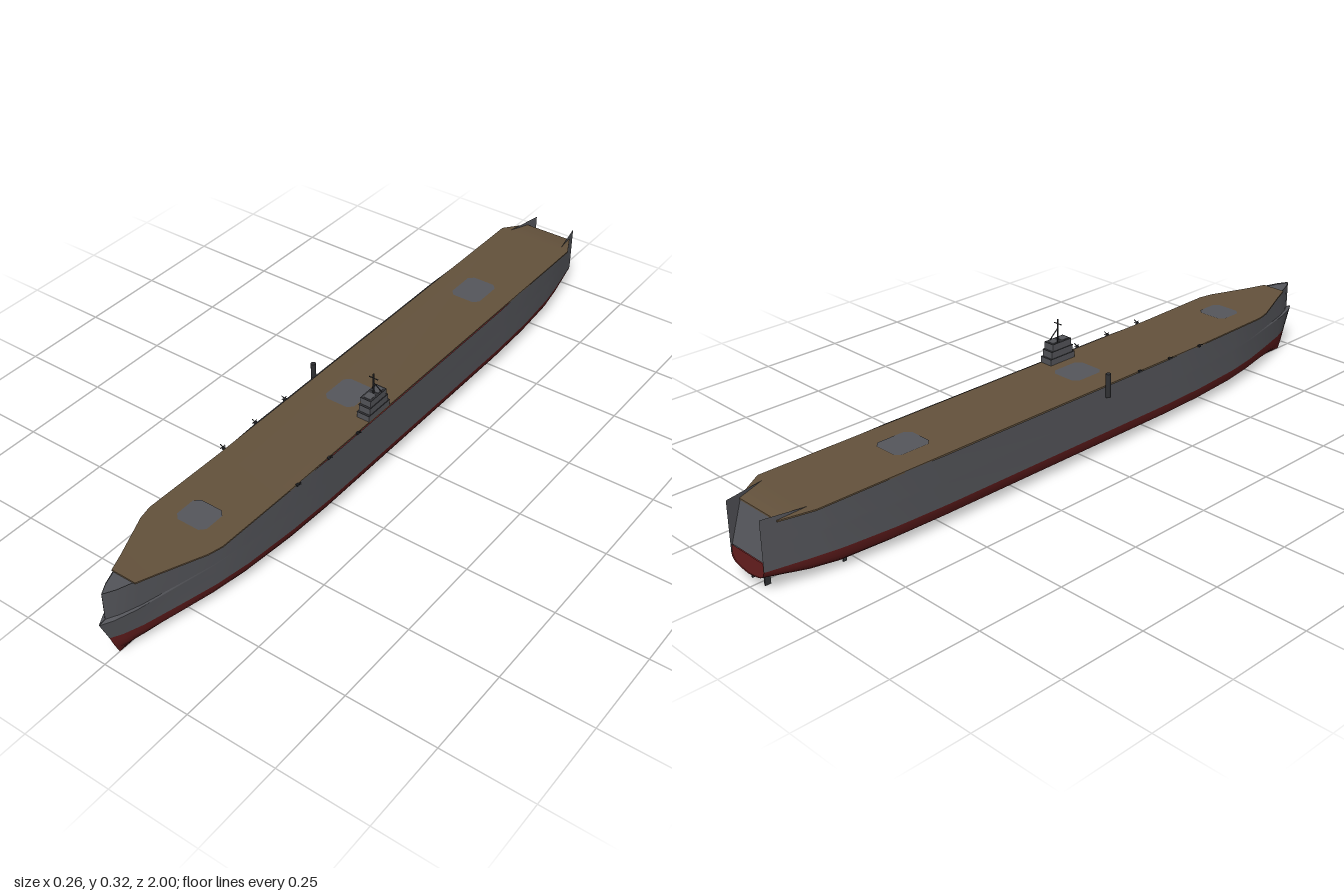
import * as THREE from 'three';

const mat = (name, color) => {
  const m = new THREE.MeshStandardMaterial({ color, side: THREE.DoubleSide });
  m.name = name;
  return m;
};
const smooth = (t) => { const c = Math.min(1, Math.max(0, t)); return c * c * (3 - 2 * c); };

// Linear lookup in rows of [key, value, ...], keys ascending
function lookup(rows, k, col = 1) {
  for (let i = 1; i < rows.length; i++) {
    const a = rows[i - 1], b = rows[i];
    if (k <= b[0]) return a[col] + (b[col] - a[col]) * Math.max(0, (k - a[0]) / (b[0] - a[0]));
  }
  return rows[rows.length - 1][col];
}

// Skin through cross-sections, each a list of [x, y, z]
function loft(rings) {
  const n = rings[0].length, index = [];
  for (let i = 0; i < rings.length - 1; i++) {
    for (let j = 0; j < n - 1; j++) {
      const a = i * n + j, b = a + n;
      index.push(a, b, a + 1, b, b + 1, a + 1);
    }
  }
  const g = new THREE.BufferGeometry();
  g.setAttribute('position', new THREE.Float32BufferAttribute(rings.flat(2), 3));
  g.setIndex(index);
  g.computeVertexNormals();
  return g;
}

// Half-breadth of the hull by station z
const breadth = [[-1, 0.064], [-0.95, 0.074], [-0.88, 0.088], [-0.8, 0.101], [-0.66, 0.113], [-0.5, 0.118],
  [0.3, 0.118], [0.44, 0.113], [0.6, 0.1], [0.7, 0.084], [0.8, 0.06], [0.9, 0.035], [0.95, 0.017], [0.98, 0.0005]];
// Section below the waterline: height, share of half-breadth
const bilge = [[0, 0], [0.004, 0.25], [0.009, 0.5], [0.018, 0.74], [0.03, 0.88], [0.045, 0.96], [0.065, 1]];
// Raked stem by height
const stem = [[0, 0.95], [0.03, 0.963], [0.065, 0.975], [0.127, 1], [0.131, 0.98], [0.2, 0.98]];
const sheer = (z) => 0.199 + 0.011 * Math.max(0, (z - 0.45) / 0.53);

function hullPoint(side, z, level) {
  const ends = smooth((z - 0.45) / 0.5);
  const share = level < 0.065 ? Math.pow(lookup(bilge, level), 1 + ends * 0.8) : 1;
  const keel = z < -0.84 ? 0.036 * (-0.84 - z) / 0.16 : 0;
  let y = level;
  if (level < 0.065) y = keel + level * (0.065 - keel) / 0.065;
  else if (level >= 0.2) y = sheer(z);
  const shift = (lookup(stem, level) - 0.98) * smooth((z - 0.72) / 0.26);
  return [side * share * lookup(breadth, z), y, z + shift];
}
const band = (side, levels) => loft(breadth.map(([z]) => levels.map((l) => hullPoint(side, z, l))));

export function createModel() {
  const hullGrey = mat('hull grey', 0x54555a);
  const red = mat('bottom red', 0x671f1f);
  const brown = mat('deck brown', 0x64523c);
  const liftGrey = mat('lift grey', 0x55565c);
  const dark = mat('dark metal', 0x303134);

  const model = new THREE.Group();
  const add = (name, geometry, material, x = 0, y = 0, z = 0, parent = model) => {
    const m = new THREE.Mesh(geometry, material);
    m.name = name;
    m.position.set(x, y, z);
    parent.add(m);
    return m;
  };
  const rod = (name, a, b, r, parent, material = dark) => {
    const p = new THREE.Vector3(...a), q = new THREE.Vector3(...b);
    const m = add(name, new THREE.CylinderGeometry(r, r, p.distanceTo(q), 6), material, 0, 0, 0, parent);
    m.position.copy(p).add(q).multiplyScalar(0.5);
    m.quaternion.setFromUnitVectors(new THREE.Vector3(0, 1, 0), q.sub(p).normalize());
    return m;
  };

  // Hull sides with a small ledge at the bow
  for (const s of [1, -1]) {
    add('upperHull', band(s, [0.131, 0.165, 0.2]), hullGrey);
    add('bowLedge', band(s, [0.127, 0.131]), hullGrey);
    add('lowerHull', band(s, [0.065, 0.095, 0.127]), hullGrey);
  }
  // Underwater hull, from side to side through the keel
  const under = bilge.map((b) => b[0]);
  add('underwaterHull', loft(breadth.map(([z]) => [
    ...under.slice().reverse().map((l) => hullPoint(1, z, l)),
    ...under.slice(1).map((l) => hullPoint(-1, z, l)),
  ])), red);

  // Recessed stern: sloping plate above, red transom below
  add('sternPlate', loft([
    [[0.072, 0.186, -0.957], [-0.072, 0.186, -0.957]],
    [[0.064, 0.085, -0.995], [-0.064, 0.085, -0.995]],
  ]), hullGrey);
  add('transom', loft([0.085, ...under.slice().reverse()].map((l) => [1, -1].map((s) => {
    const p = hullPoint(s, -1, l);
    return [p[0], p[1], -0.997];
  }))), red);

  // Foredeck ahead of the flight deck
  add('foredeck', loft([0.89, 0.95, 0.98].map((z) =>
    [1, -1].map((s) => [s * lookup(breadth, z), sheer(z) - 0.003, z]))), hullGrey);

  // Flight deck, overhanging the narrow ends: z, half-breadth, top
  const deckRows = [[-0.96, 0.075, 0.187], [-0.88, 0.114, 0.2], [0.45, 0.114, 0.2], [0.7, 0.114, 0.205],
    [0.74, 0.105, 0.206], [0.8, 0.08, 0.207], [0.86, 0.055, 0.208], [0.91, 0.036, 0.2095]];
  const deckSurface = (drop) => loft(deckRows.map(([z, w, y]) => [[w, y - drop, z], [-w, y - drop, z]]));
  add('flightDeck', deckSurface(0), brown);
  add('deckUnderside', deckSurface(0.004), brown);
  for (const s of [1, -1]) {
    add('deckEdge', loft(deckRows.map(([z, w, y]) => [[s * w, y, z], [s * w, y - 0.004, z]])), brown);
  }
  for (const [z, w, y] of [deckRows[0], deckRows[deckRows.length - 1]]) {
    add('deckEnd', loft([[[w, y, z], [-w, y, z]], [[w, y - 0.004, z], [-w, y - 0.004, z]]]), brown);
  }

  // Aircraft lifts, clipped square plates
  for (const [z, y, half] of [[-0.54, 0.2, 0.055], [0.06, 0.2, 0.052], [0.65, 0.204, 0.042]]) {
    const w = 0.046, c = 0.014;
    const shape = new THREE.Shape([[w, half - c], [w - c, half], [c - w, half], [-w, half - c],
      [-w, c - half], [c - w, -half], [w - c, -half], [w, c - half]].map((p) => new THREE.Vector2(...p)));
    const g = new THREE.ShapeGeometry(shape).rotateX(-Math.PI / 2);
    add('lift', g, liftGrey, 0, y + 0.0015, z);
  }

  // Island of three stepped tiers with a tripod mast
  const island = new THREE.Group();
  island.name = 'island';
  island.position.set(0.095, 0.2, 0.082);
  model.add(island);
  [[0.038, 0.09, 0.018], [0.035, 0.079, 0.02], [0.032, 0.068, 0.02]].reduce((y, [w, d, h]) => {
    add('islandTier', new THREE.BoxGeometry(w, h, d), hullGrey, 0, y + h / 2, 0, island);
    add('tierRim', new THREE.BoxGeometry(w + 0.001, 0.0015, d + 0.001), dark, 0, y + h - 0.0007, 0, island);
    return y + h;
  }, 0);
  for (const z of [-0.017, 0.017]) {
    add('roofPanel', new THREE.BoxGeometry(0.022, 0.001, 0.024), hullGrey, 0, 0.0586, z, island);
  }
  rod('mast', [0, 0.058, 0], [0, 0.118, 0], 0.0024, island);
  for (const x of [-0.014, 0.014]) rod('mastLeg', [x, 0.058, -0.016], [0, 0.092, 0], 0.0015, island);
  rod('yard', [-0.014, 0.105, 0], [0.014, 0.105, 0], 0.0014, island);

  // Funnel on the opposite side
  add('funnel', new THREE.CylinderGeometry(0.0072, 0.0072, 0.067, 12), dark, -0.1235, 0.2035, 0.05);

  // Deck-edge guns
  for (const s of [1, -1]) {
    for (const z of [0.18, 0.3, 0.425]) {
      const gun = new THREE.Group();
      gun.name = 'deckEdgeGun';
      gun.position.set(s * 0.117, 0.2, z);
      model.add(gun);
      add('gunBase', new THREE.BoxGeometry(0.006, 0.006, 0.008), dark, 0, 0.001, 0, gun);
      rod('gunBarrel', [0, 0.003, 0], [s * 0.011, 0.008, 0], 0.0013, gun);
      rod('gunShield', [s * 0.003, 0.004, -0.009], [s * 0.003, 0.004, 0.009], 0.001, gun);
    }
  }

  // Shaft struts and rudders
  for (const s of [1, -1]) {
    add('shaftStrut', new THREE.BoxGeometry(0.004, 0.022, 0.01), dark, s * 0.065, 0.014, -0.78);
    add('rudder', new THREE.BoxGeometry(0.004, 0.036, 0.016), dark, s * 0.025, 0.022, -0.968);
  }
  return model;
}
